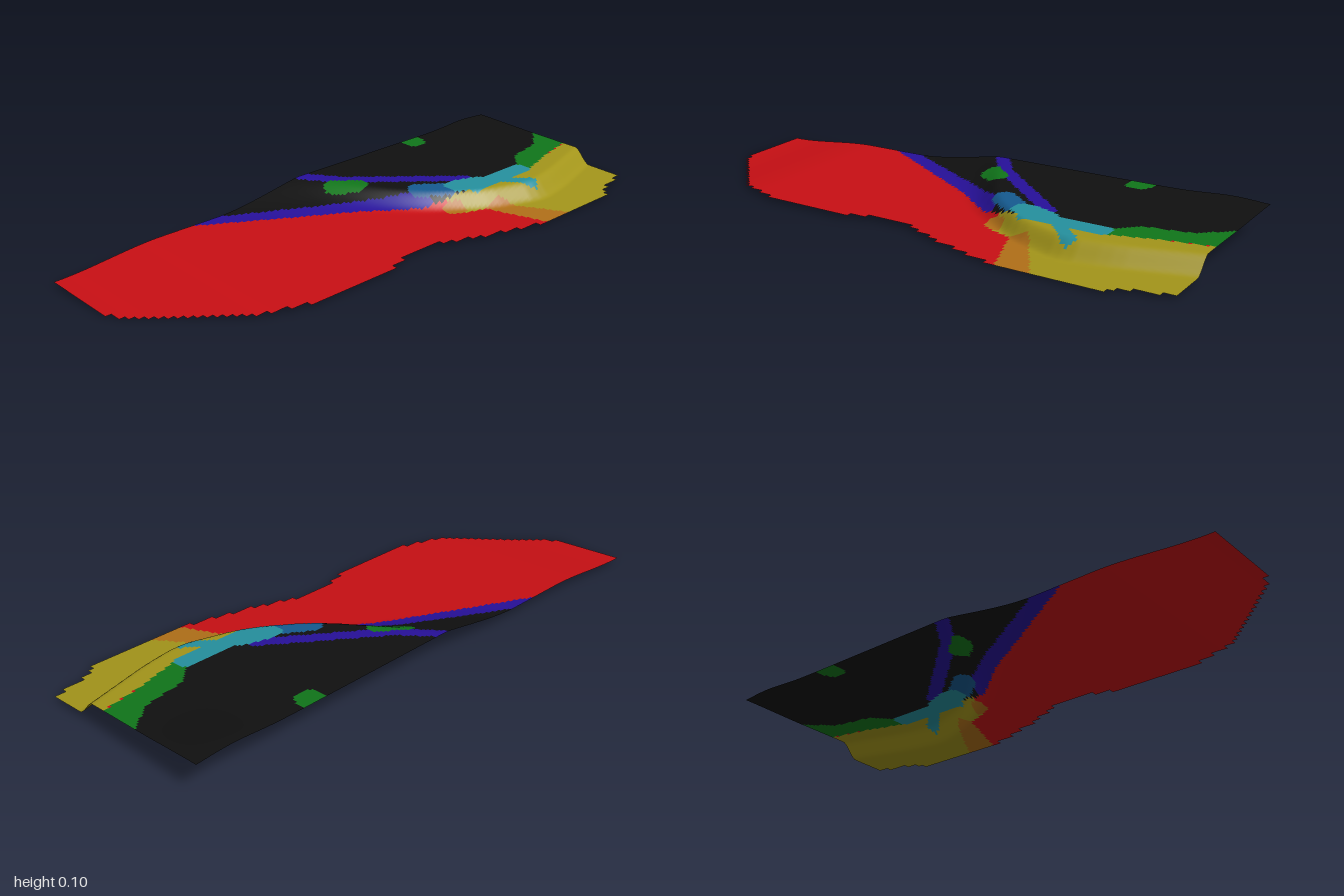
import * as THREE from 'three';

const STEP = 0.01, NX = 200, NZ = 76;
const smooth = THREE.MathUtils.smoothstep;

// Value at t on a broken line of [t, value] points
function along(points, t) {
  let i = 1;
  while (i < points.length - 1 && t > points[i][0]) i++;
  const [a, u] = points[i - 1], [b, v] = points[i];
  return u + (v - u) * (t - a) / (b - a);
}

// A round-ended stroke of radius r between two ground points
const stroke = (ax, az, bx, bz, r) => (x, z) => {
  const dx = bx - ax, dz = bz - az;
  const t = THREE.MathUtils.clamp(((x - ax) * dx + (z - az) * dz) / (dx * dx + dz * dz), 0, 1);
  return Math.hypot(x - ax - t * dx, z - az - t * dz) < r;
};
const anyOf = (...tests) => (x, z) => tests.some((test) => test(x, z));

// Front rim, border of the upland and middle of the slope: z by x
const rim = [[-1, -0.1], [-0.9, 0], [-0.7, 0.22], [-0.5, 0.28], [-0.2, 0.28], [-0.1, 0.24], [0.03, 0.24],
  [0.2, 0.31], [0.45, 0.38], [0.8, 0.38], [0.85, 0.34], [1, 0.3]];
const border = [[-0.48, -0.38], [0.02, -0.1], [0.2, 0.04], [0.42, 0.125], [0.65, 0.13], [0.85, 0.07], [1, 0.04]];
const slope = [[-0.4, -0.6], [0, -0.24], [0.2, 0.02], [0.4, 0.16], [0.6, 0.225], [0.75, 0.2], [1, 0.13]];
const beltTop = [[0.68, 0.06], [0.75, 0], [0.9, -0.03], [1, -0.11]];
// Left side of the bank: x by z
const bankSide = [[0.14, 0.28], [0.17, 0.38], [0.38, 0.46]];

const beyondBorder = (x, z) => z - along(border, x);
const onBank = (x, z) => beyondBorder(x, z) > 0 && x > Math.max(0.28, along(bankSide, z));

// Ground patches; later ones lie over earlier ones
const patches = [
  ['lowland', 'red', () => true],
  ['upland', 'black', (x, z) => beyondBorder(x, z) < 0],
  ['longStripe', 'violet', (x, z) => x < 0.24 && Math.abs(beyondBorder(x, z) + 0.033) < 0.033],
  ['shortStripe', 'violet', anyOf(stroke(0, -0.38, 0.1, -0.25, 0.025), stroke(0.1, -0.25, 0.44, 0.03, 0.025))],
  ['innerGrove', 'green', stroke(0.04, -0.245, 0.105, -0.19, 0.035)],
  ['backGrove', 'green', stroke(0.57, -0.38, 0.56, -0.35, 0.045)],
  ['greenBelt', 'green', (x, z) => x > 0.55 && beyondBorder(x, z) < 0 && z > Math.min(0.06, along(beltTop, x))],
  ['bank', 'yellow', onBank],
  ['bankEnd', 'orange', (x, z) => onBank(x, z) && z > 0.17 && x < along(bankSide, z) + 0.07 + (z - 0.17) * 0.25],
  ['bankTip', 'orange', stroke(0.27, 0.1, 0.3, 0.12, 0.025)],
  ['channel', 'blue', stroke(0.24, -0.02, 0.32, 0.04, 0.04)],
  ['pool', 'teal', anyOf(stroke(0.36, 0.05, 0.45, 0.08, 0.045), stroke(0.4, 0.095, 0.66, 0.095, 0.035),
    stroke(0.5, 0.1, 0.605, 0.195, 0.022))],
];

const colours = {
  red: 0xc80f14, black: 0x101010, violet: 0x27109a, green: 0x10761a,
  yellow: 0xa3951a, orange: 0xb06f18, blue: 0x155a90, teal: 0x25909e,
};

// Gentle lowland and upland joined by a slope that steepens towards +x
function height(x, z) {
  const low = 0.01 + 0.05 * (0.27 - z) - 0.028 * (1 - smooth(x, -1, -0.6));
  const high = 0.076 - 0.04 * z
    + 0.01 * Math.exp(-(((x - 0.88) / 0.12) ** 2)) * smooth(-z, 0.1, 0.38);
  const middle = (along(slope, x - 0.04) + along(slope, x) + along(slope, x + 0.04)) / 3;
  const half = THREE.MathUtils.lerp(0.2, 0.035, smooth(x, -0.2, 0.35));
  return low + (high - low) * smooth(middle - z, -half, half);
}

export function createModel() {
  const group = new THREE.Group();
  group.name = 'terrain';

  const materials = {};
  for (const [name, color] of Object.entries(colours)) {
    materials[name] = new THREE.MeshStandardMaterial({ color, side: THREE.DoubleSide });
    materials[name].name = name;
  }

  // Shared grid of points and smooth normals
  const positions = [], normals = [], n = new THREE.Vector3(), e = 0.01;
  for (let k = 0; k <= NZ; k++) {
    for (let i = 0; i <= NX; i++) {
      const x = -1 + i * STEP, z = -0.38 + k * STEP;
      positions.push(x, height(x, z), z);
      n.set(height(x - e, z) - height(x + e, z), 2 * e, height(x, z - e) - height(x, z + e)).normalize();
      normals.push(n.x, n.y, n.z);
    }
  }

  // Sort the cells into patches
  const cells = patches.map(() => []);
  for (let k = 0; k < NZ; k++) {
    for (let i = 0; i < NX; i++) {
      // the rim steps in coarser squares than the patches
      const rimX = -0.99 + Math.floor(i / 2) * 0.02, rimZ = -0.37 + Math.floor(k / 2) * 0.02;
      if (rimZ > along(rim, rimX)) continue;
      const x = -1 + (i + 0.5) * STEP, z = -0.38 + (k + 0.5) * STEP;
      const top = patches.findLastIndex(([, , covers]) => covers(x, z));
      const a = k * (NX + 1) + i, b = a + 1, c = a + NX + 1, d = c + 1;
      cells[top].push(a, c, b, b, c, d);
    }
  }

  // One mesh per patch
  patches.forEach(([name, colour], p) => {
    const shared = new THREE.BufferGeometry();
    shared.setAttribute('position', new THREE.Float32BufferAttribute(positions, 3));
    shared.setAttribute('normal', new THREE.Float32BufferAttribute(normals, 3));
    shared.setIndex(cells[p]);
    const mesh = new THREE.Mesh(shared.toNonIndexed(), materials[colour]);
    mesh.name = name;
    group.add(mesh);
  });
  return group;
}
